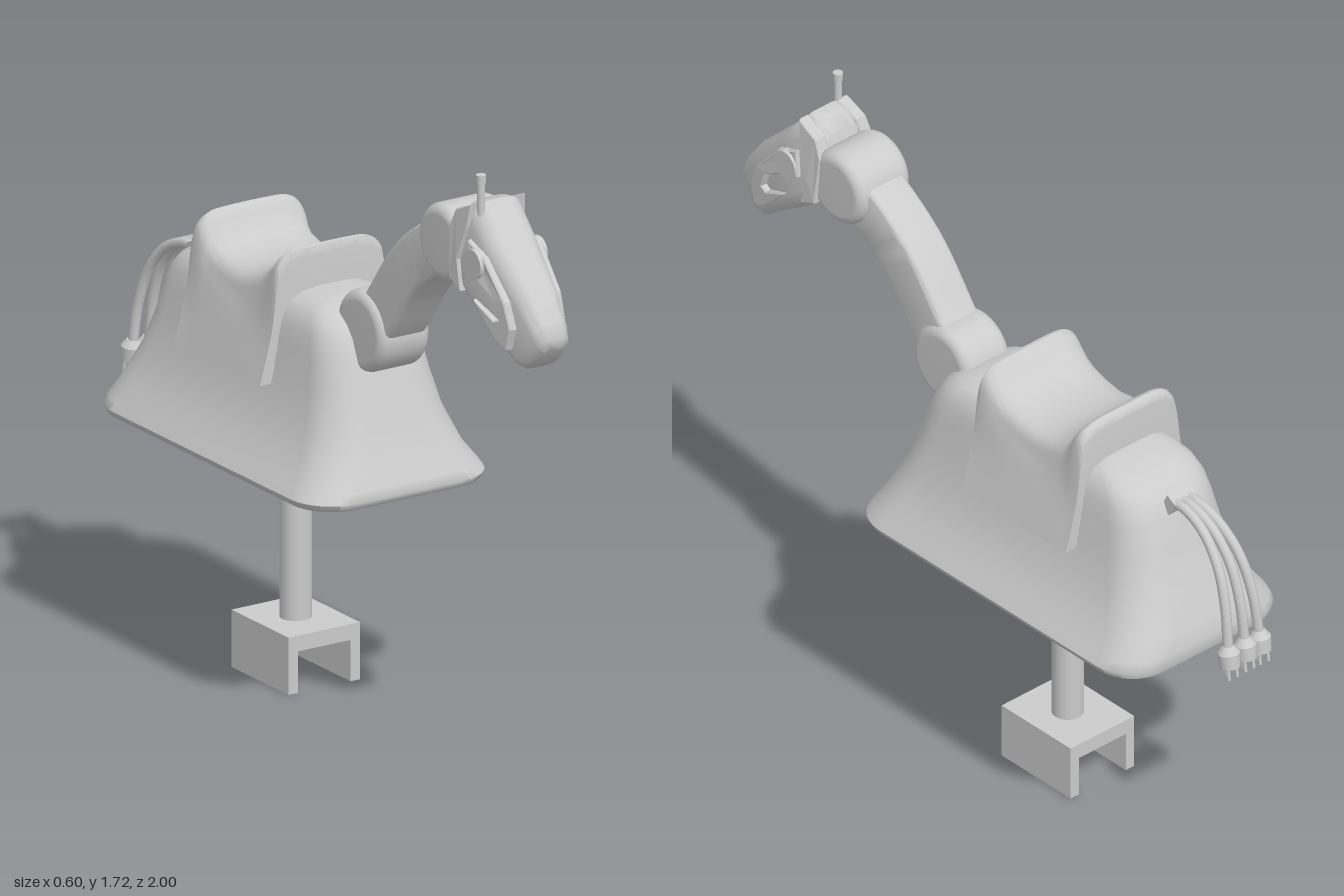
import * as THREE from 'three';
import { toCreasedNormals } from 'three/addons/utils/BufferGeometryUtils.js';

const V = (x, y, z) => new THREE.Vector3(x, y, z);
const grey = new THREE.MeshStandardMaterial({ color: 0xcccccc });

// Skin a list of equal-length closed rings, cap both ends, face outward
function loft(rings, crease = 0.7) {
  const n = rings[0].length, pts = rings.flat(), idx = [];
  for (let i = 0; i < rings.length - 1; i++)
    for (let j = 0; j < n; j++) {
      const a = i * n + j, b = i * n + (j + 1) % n;
      idx.push(a, b, a + n, b, b + n, a + n);
    }
  for (const [k, flip] of [[0, true], [rings.length - 1, false]]) {
    const outline = rings[k];
    const u = V(0, 0, 0), normal = V(0, 0, 0);
    outline.forEach((p, j) => normal.add(u.crossVectors(p, outline[(j + 1) % n])));
    normal.normalize();
    const ax = V(1, 0, 0), ay = V(0, 0, 0).crossVectors(normal, ax).normalize();
    const flat = outline.map(p => new THREE.Vector2(p.dot(ax), p.dot(ay)));
    for (const [a, b, c] of THREE.ShapeUtils.triangulateShape(flat, []))
      idx.push(k * n + a, k * n + (flip ? c : b), k * n + (flip ? b : c));
  }
  let volume = 0;
  for (let i = 0; i < idx.length; i += 3)
    volume += pts[idx[i]].dot(V(0, 0, 0).crossVectors(pts[idx[i + 1]], pts[idx[i + 2]]));
  if (volume < 0) idx.reverse();
  const g = new THREE.BufferGeometry().setFromPoints(pts);
  g.setIndex(idx);
  return toCreasedNormals(g, crease);
}

// Rounded rectangle as 2D points
function roundRect(hw, hd, r, steps = 8) {
  const out = [];
  [[1, 1], [-1, 1], [-1, -1], [1, -1]].forEach(([sx, sy], q) => {
    for (let i = 0; i <= steps; i++) {
      const a = (q + i / steps) * Math.PI / 2;
      out.push([sx * (hw - r) + r * Math.cos(a), sy * (hd - r) + r * Math.sin(a)]);
    }
  });
  return out;
}

// Cylinder with rounded rims, lying across the model
function joint(radius, half, r) {
  const p = [new THREE.Vector2(0, -half)];
  for (let i = 0; i <= 6; i++) {
    const a = i / 6 * Math.PI / 2;
    p.push(new THREE.Vector2(radius - r + r * Math.sin(a), -half + r - r * Math.cos(a)));
  }
  const all = p.concat(p.slice().reverse().map(v => new THREE.Vector2(v.x, -v.y)));
  return new THREE.LatheGeometry(all, 40).rotateZ(Math.PI / 2);
}

export function createModel() {
  const model = new THREE.Group();
  const add = (name, geometry, x = 0, y = 0, z = 0, parent = model) => {
    const m = new THREE.Mesh(geometry, grey);
    m.name = name;
    m.position.set(x, y, z);
    parent.add(m);
    return m;
  };

  // Flared body: [y, half width, back z, front z, corner radius]
  const body = [
    [0.65, 0.265, -0.80, 0.26, 0.10], [0.656, 0.29, -0.825, 0.285, 0.12],
    [0.675, 0.30, -0.83, 0.295, 0.13], [0.70, 0.285, -0.83, 0.285, 0.13],
    [0.75, 0.25, -0.815, 0.262, 0.13], [0.85, 0.208, -0.77, 0.222, 0.12],
    [0.95, 0.184, -0.735, 0.19, 0.11], [1.03, 0.17, -0.71, 0.163, 0.10],
    [1.08, 0.16, -0.69, 0.142, 0.095], [1.115, 0.147, -0.655, 0.115, 0.085],
    [1.14, 0.125, -0.60, 0.08, 0.07], [1.155, 0.09, -0.52, 0.035, 0.05],
    [1.16, 0.045, -0.44, -0.02, 0.03],
  ];
  add('body', loft(body.map(([y, w, b, f, r]) =>
    roundRect(w, (f - b) / 2, r).map(([x, z]) => V(x, y, z + (f + b) / 2))), 1.0));

  // Saddle: one arched section swept front to back, [z, top height]
  const saddle = [
    [-0.09, 1.255], [-0.096, 1.273], [-0.106, 1.275], [-0.12, 1.265], [-0.137, 1.245],
    [-0.16, 1.222], [-0.19, 1.203], [-0.24, 1.187], [-0.30, 1.178], [-0.36, 1.185],
    [-0.42, 1.202], [-0.445, 1.225], [-0.46, 1.257], [-0.475, 1.274], [-0.488, 1.278],
    [-0.50, 1.27], [-0.505, 1.255],
  ];
  add('saddle', loft(saddle.map(([z, t]) => {
    const half = [[0.23, 0.91], [0.192, 1.05], [0.174, t - 0.075],
      [0.16, t - 0.03], [0.13, t - 0.008], [0.08, t]];
    const outer = new THREE.SplineCurve([...half, ...half.slice().reverse().map(([x, y]) => [-x, y])]
      .map(([x, y]) => new THREE.Vector2(x, y))).getPoints(44);
    const inner = [[-0.195, 0.91], [-0.15, 1.04], [-0.1, 1.1], [0.1, 1.1], [0.15, 1.04], [0.195, 0.91]];
    return [...outer.map(p => V(p.x, p.y, z)), ...inner.map(([x, y]) => V(x, y, z))];
  }), 0.8));

  // Neck with its two round joints
  add('neckBaseJoint', joint(0.115, 0.083, 0.03), 0, 1.11, 0.163);
  add('headJoint', joint(0.108, 0.095, 0.03), 0, 1.483, 0.57);
  const neckPath = new THREE.CatmullRomCurve3([
    V(0, 1.11, 0.17), V(0, 1.18, 0.23), V(0, 1.34, 0.355), V(0, 1.435, 0.48), V(0, 1.48, 0.57)]);
  const neck = [];
  for (let i = 0; i <= 16; i++) {
    const p = neckPath.getPointAt(i / 16), t = neckPath.getTangentAt(i / 16);
    neck.push(roundRect(0.067, 0.076, 0.018, 4)
      .map(([x, d]) => V(x, p.y + d * t.z, p.z - d * t.y)));
  }
  add('neck', loft(neck));

  // Head: stations of [top z, top y, bottom z, bottom y, half width]
  const head = new THREE.Group();
  head.name = 'head';
  model.add(head);
  const stations = [
    [0.645, 1.60, 0.615, 1.41, 0.08], [0.68, 1.63, 0.63, 1.40, 0.092],
    [0.72, 1.635, 0.66, 1.378, 0.098], [0.79, 1.56, 0.75, 1.315, 0.096],
    [0.92, 1.435, 0.83, 1.26, 0.08], [0.98, 1.355, 0.885, 1.217, 0.068],
    [1.0, 1.315, 0.915, 1.213, 0.058], [0.993, 1.285, 0.945, 1.232, 0.04],
  ];
  add('skull', loft(stations.map(([tz, ty, bz, by, w]) => {
    const h = Math.hypot(tz - bz, ty - by) / 2;
    return roundRect(w, h, Math.min(w, h) * 0.55, 5).map(([x, d]) => {
      const k = (d / h + 1) / 2;
      return V(x * (1 - 0.22 * k * k), by + (ty - by) * k, bz + (tz - bz) * k);
    });
  }), 0.9), 0, 0, 0, head);

  // Side plates and eyes, mirrored; outlines are [z, y]
  const earPlate = [[0.715, 1.63], [0.65, 1.6], [0.628, 1.55], [0.64, 1.41],
    [0.69, 1.388], [0.672, 1.47], [0.705, 1.57]];
  const cheekPlate = [[0.72, 1.53], [0.79, 1.50], [0.88, 1.40], [0.905, 1.33], [0.89, 1.275],
    [0.85, 1.29], [0.76, 1.375], [0.84, 1.335], [0.865, 1.345], [0.845, 1.40], [0.77, 1.44], [0.71, 1.46]];
  const plate = (outline) => new THREE.ExtrudeGeometry(
    new THREE.Shape(outline.map(([z, y]) => new THREE.Vector2(-z, y))),
    { depth: 0.03, bevelEnabled: true, bevelSize: 0.004, bevelThickness: 0.004, bevelSegments: 1 })
    .rotateY(Math.PI / 2);
  const lean = (g) => { // follow the taper of the head
    const p = g.attributes.position;
    for (let i = 0; i < p.count; i++) {
      const z = p.getZ(i), y = p.getY(i);
      p.setX(i, p.getX(i) - 0.11 * Math.max(0, z - 0.76) - 0.1 * Math.max(0, y - 1.45));
    }
    g.computeVertexNormals();
    return g;
  };
  for (const s of [1, -1]) {
    const side = new THREE.Group();
    side.name = s > 0 ? 'leftFace' : 'rightFace';
    head.add(side);
    for (const [name, outline] of [['earPlate', earPlate], ['cheekPlate', cheekPlate]]) {
      const g = lean(plate(outline).translate(0.073, 0, 0));
      if (s < 0) { // mirror, keeping faces outward
        const p = g.attributes.position;
        for (let i = 0; i < p.count; i++) p.setX(i, -p.getX(i));
        for (let i = 0; i < p.count; i += 3) {
          const a = V(0, 0, 0).fromBufferAttribute(p, i), b = V(0, 0, 0).fromBufferAttribute(p, i + 2);
          p.setXYZ(i, b.x, b.y, b.z);
          p.setXYZ(i + 2, a.x, a.y, a.z);
        }
        g.computeVertexNormals();
      }
      add(name, g, 0, 0, 0, side);
    }
    add('eye', new THREE.CylinderGeometry(0.042, 0.042, 0.03, 28).rotateZ(Math.PI / 2),
      s * 0.094, 1.477, 0.753, side);
  }

  // Single thin rod on the right of the crown
  add('earRod', new THREE.CylinderGeometry(0.011, 0.011, 0.12, 16), -0.06, 1.64, 0.725, head);
  add('earRodTip', new THREE.CylinderGeometry(0.014, 0.013, 0.025, 16), -0.06, 1.703, 0.725, head);

  // Tail: three cables ending in pronged plugs
  const tail = new THREE.Group();
  tail.name = 'tail';
  model.add(tail);
  add('tailMount', new THREE.BoxGeometry(0.08, 0.05, 0.035), 0, 1.08, -0.705, tail).rotation.x = -0.5;
  [[-0.024, -0.058], [0, -0.005], [0.024, 0.055]].forEach(([x0, x1]) => {
    const path = new THREE.CatmullRomCurve3([
      V(x0, 1.085, -0.69), V(x0, 1.085, -0.76), V(x0 + (x1 - x0) * 0.2, 1.05, -0.84),
      V(x0 + (x1 - x0) * 0.5, 0.975, -0.905), V(x0 + (x1 - x0) * 0.8, 0.86, -0.945), V(x1, 0.745, -0.96)]);
    add('cable', new THREE.TubeGeometry(path, 28, 0.0145, 10), 0, 0, 0, tail);
    const plug = new THREE.Group();
    plug.name = 'plug';
    plug.position.set(x1, 0.725, -0.965);
    plug.rotation.x = 0.13;
    tail.add(plug);
    add('plugShoulder', new THREE.CylinderGeometry(0.016, 0.031, 0.02, 18), 0, 0.025, 0, plug);
    add('plugBody', new THREE.CylinderGeometry(0.031, 0.029, 0.042, 18), 0, -0.006, 0, plug);
    for (const a of [0, 1, 2])
      add('prong', new THREE.CylinderGeometry(0.005, 0.005, 0.04, 8),
        0.017 * Math.sin(a * 2.094), -0.043, 0.017 * Math.cos(a * 2.094), plug);
  });

  // Post and U-shaped clamp
  add('post', new THREE.CylinderGeometry(0.044, 0.044, 0.52, 32), 0, 0.405, -0.26);
  const clamp = new THREE.Shape([[-0.115, 0], [-0.085, 0], [-0.085, 0.118], [0.085, 0.118],
    [0.085, 0], [0.115, 0], [0.115, 0.163], [-0.115, 0.163]].map(([x, y]) => new THREE.Vector2(x, y)));
  add('clamp', new THREE.ExtrudeGeometry(clamp, { depth: 0.276, bevelEnabled: false }), 0, 0, -0.398);

  return model;
}
